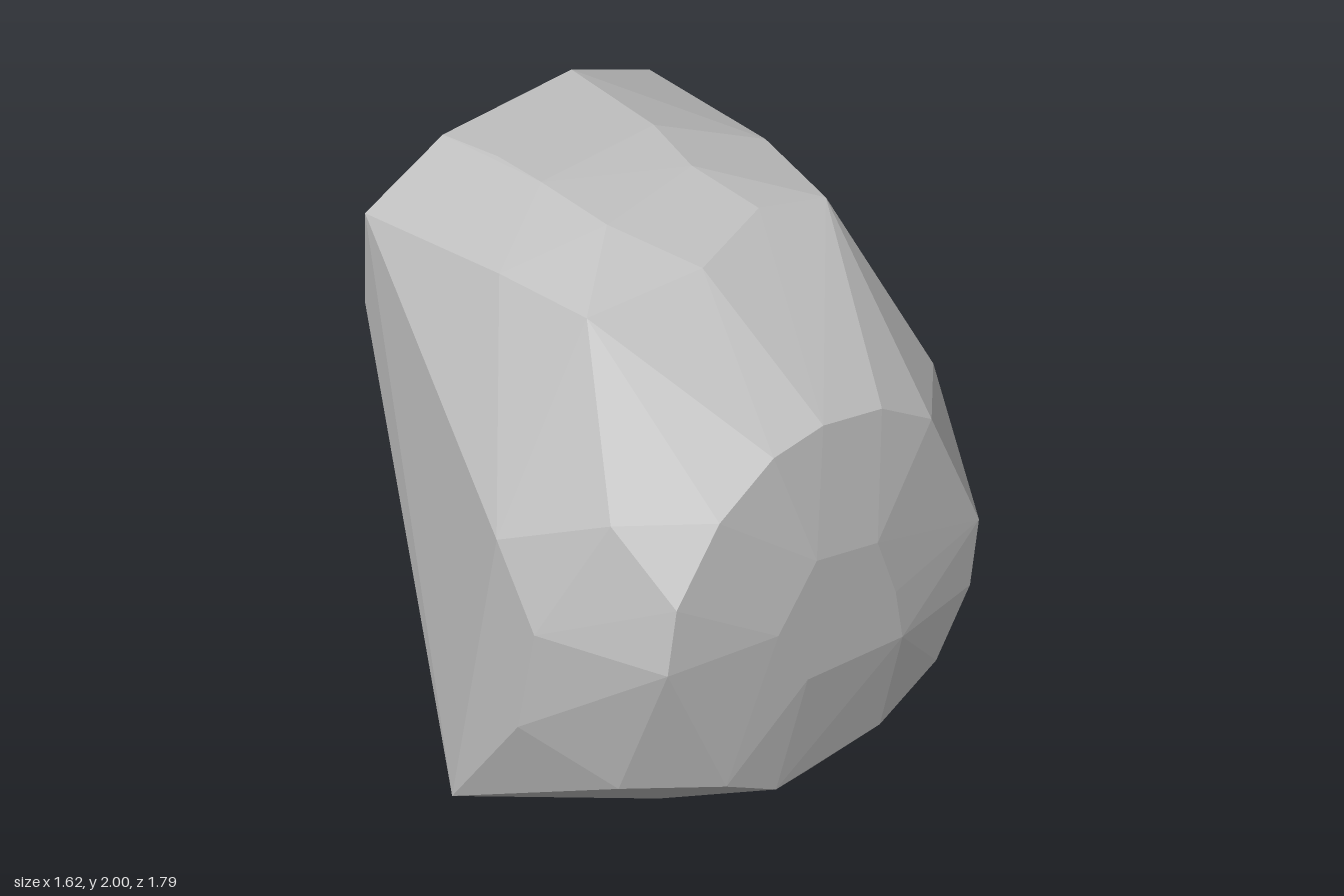
import * as THREE from 'three';
import { ConvexGeometry } from 'three/addons/geometries/ConvexGeometry.js';

export function createModel() {
  const stone = new THREE.MeshStandardMaterial({ color: 0xc0c0c0 });
  stone.name = 'lightGreyStone';
  stone.flatShading = true;

  const points = [];
  const add = (x, y, z) => points.push(new THREE.Vector3(x, y, z));

  // corners repeated on the front and back
  for (const s of [1, -1]) {
    add(-0.81, 1.48, 0.63 * s); // flat cut end
    add(-0.81, 1.83, 0.63 * s);
    add(-0.81, 1.985, 0.285 * s);
    add(-0.64, 0.82, 0.25 * s); // sloping underside
    add(-0.22, 0, 0.68 * s);
    add(-0.1, 0, 0.89 * s); // foot
    add(0.4, 0.03, 0.43 * s);
    add(0.48, 0.22, 0.68 * s);
    add(0.48, 1.27, 0.715 * s); // shoulders
    add(0.16, 1.85, 0.53 * s);
    add(-0.2, 1.875, 0.59 * s);
    add(-0.37, 2, 0.25 * s); // crown
  }

  // crown and foot details
  add(-0.58, 1.997, 0.25);
  add(-0.12, 1.99, -0.19);
  add(-0.06, 1.98, 0.24);
  add(0.13, 1.915, -0.26);
  add(0.23, 1.88, 0.08);
  add(0.65, 0.07, 0);

  // front cheek
  add(0.12, 1.12, 0.893);
  add(0.3, 0.83, 0.89);
  add(0.22, 0.43, 0.89);

  // back cheek
  add(0.06, 0.92, -0.893);
  add(0.28, 1.02, -0.867);

  // rim of the rounded end, as [z, y]
  [[0, 1.47], [0.22, 1.44], [0.46, 1.29], [0.65, 1.03], [0.69, 0.79], [0.57, 0.55], [0.43, 0.24],
    [0.21, 0.13], [-0.25, 0.18], [-0.5, 0.32], [-0.65, 0.55], [-0.69, 0.79], [-0.48, 1.28], [-0.26, 1.42],
  ].forEach(([z, y]) => add(0.73, y, z));

  // bulge inside the rim
  [[0.1, 1.02], [-0.17, 0.97], [0.27, 0.8], [-0.25, 0.74], [0.14, 0.57], [-0.28, 0.55],
  ].forEach(([z, y]) => add(0.808, y, z));

  const rock = new THREE.Mesh(new ConvexGeometry(points), stone);
  rock.name = 'rock';
  const group = new THREE.Group();
  group.name = 'boulder';
  group.add(rock);
  return group;
}
